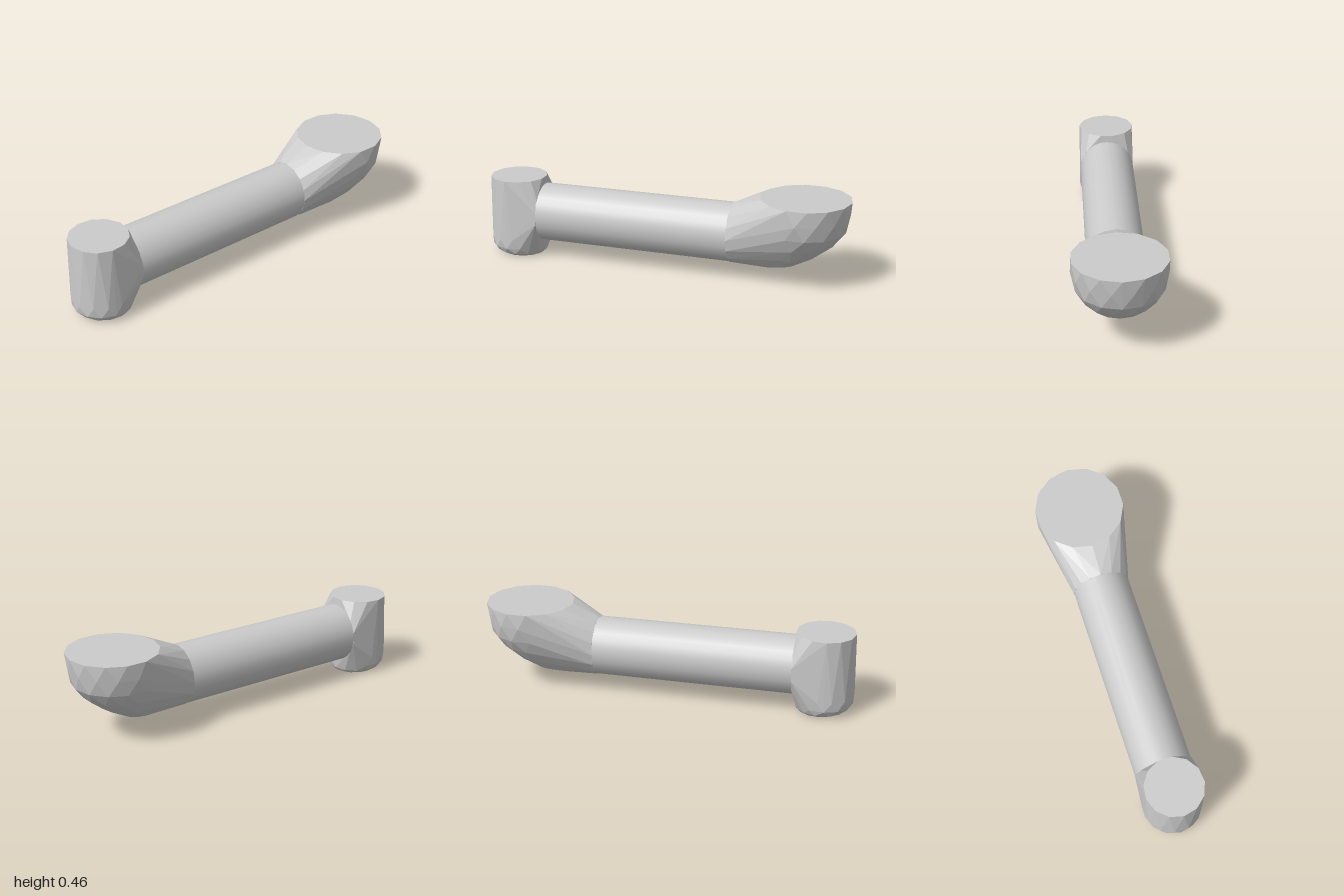
import * as THREE from 'three';
import { ConvexGeometry } from 'three/addons/geometries/ConvexGeometry.js';

const TAU = Math.PI * 2;
const SHAFT_Y = 0.24;

// Horizontal ring of points
function flatRing(y, r, z, sides, turn = 0) {
  return Array.from({ length: sides }, (_, i) => {
    const a = ((i + turn) / sides) * TAU;
    return new THREE.Vector3(r * Math.sin(a), y, z + r * Math.cos(a));
  });
}

// Upright ring matching the shaft's cross-section
function shaftRing(z, rx, ry, sides) {
  return Array.from({ length: sides }, (_, i) => {
    const a = (i / sides) * TAU;
    return new THREE.Vector3(rx * Math.sin(a), SHAFT_Y + ry * Math.cos(a), z);
  });
}

export function createModel() {
  const group = new THREE.Group();
  const faceted = new THREE.MeshStandardMaterial({ color: 0xcccccc, flatShading: true });
  const smooth = new THREE.MeshStandardMaterial({ color: 0xcccccc });

  const add = (name, geometry, material) => {
    const mesh = new THREE.Mesh(geometry, material);
    mesh.name = name;
    group.add(mesh);
  };

  // Round shaft, running slightly into both ends
  const shaft = new THREE.CylinderGeometry(0.152, 0.152, 1.1, 24);
  shaft.rotateX(Math.PI / 2).scale(1, 1.04, 1).translate(0, SHAFT_Y, 0.15);
  add('shaft', shaft, smooth);

  // Front post: upright, chamfered below, flaring back to meet the shaft
  const postRings = [
    // y, radius, z centre
    [0.435, 0.154, 0.837],
    [0.1, 0.158, 0.842],
    [0.05, 0.155, 0.84],
    [0.02, 0.14, 0.83],
    [0.003, 0.115, 0.82],
  ];
  const post = postRings.flatMap(([y, r, z], i) => flatRing(y, r, z, 13, (i % 2) * 0.5));
  add('frontPost', new ConvexGeometry([...post, ...shaftRing(0.683, 0.155, 0.155, 14)]), faceted);

  // Back bowl: flat top, rounded belly drawn forward to the shaft
  const bowlRings = [
    [0.461, 0.237, -0.763],
    [0.38, 0.237, -0.755],
    [0.3, 0.22, -0.755],
    [0.23, 0.185, -0.735],
    [0.16, 0.14, -0.69],
    [0.105, 0.09, -0.64],
    [0.078, 0.04, -0.58],
  ];
  const bowl = bowlRings.flatMap(([y, r, z], i) => flatRing(y, r, z, 14, (i % 2) * 0.5));
  add('backBowl', new ConvexGeometry([...bowl, ...shaftRing(-0.38, 0.154, 0.16, 16)]), faceted);

  return group;
}
